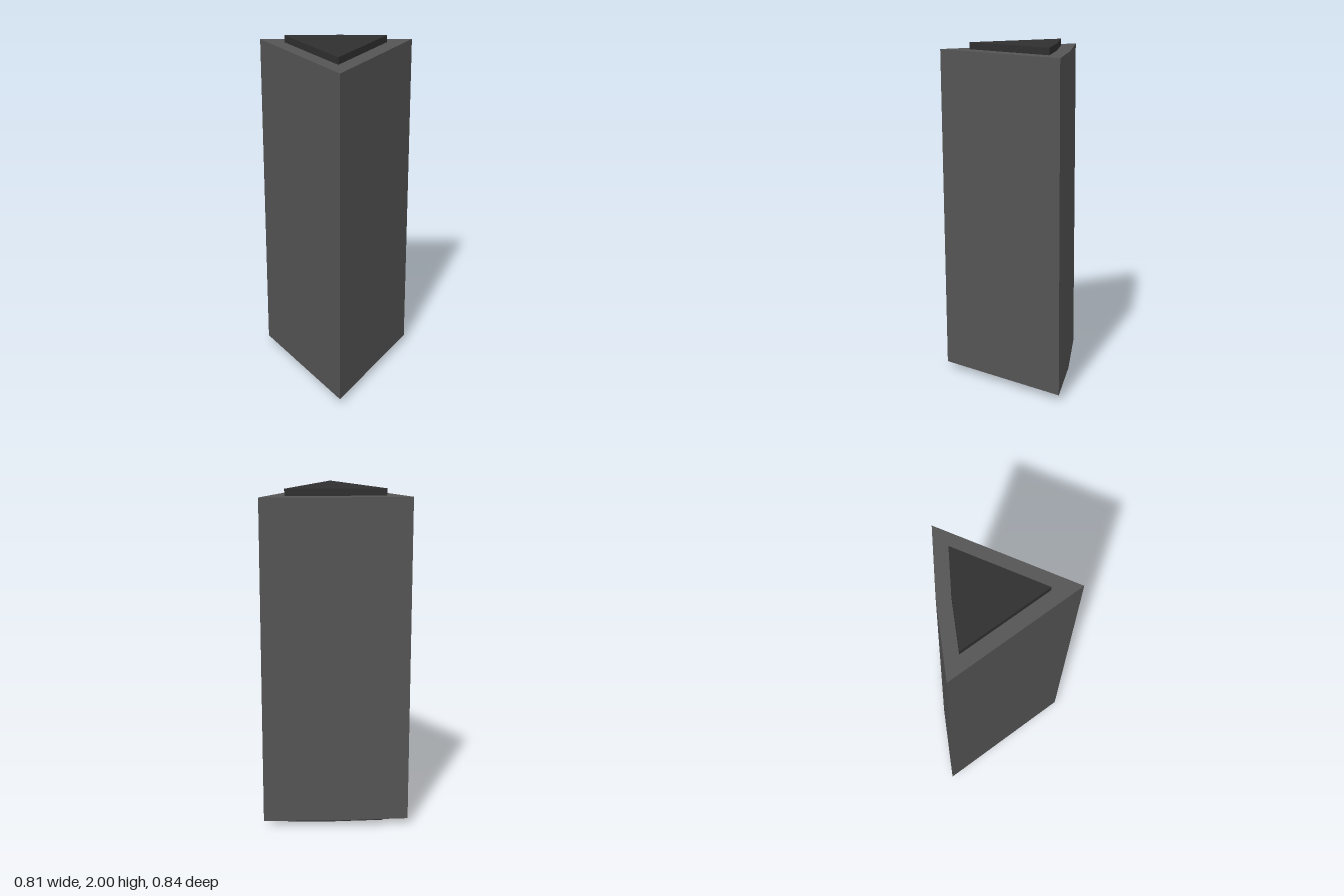
import * as THREE from 'three';

// Plan outlines as [x, z]: a wedge whose back-left side bends slightly outwards
const BODY_PLAN = [[-0.405, 0.42], [0.405, 0.177], [0.127, -0.112], [-0.215, -0.422]];
const CAP_PLAN = [[-0.293, 0.292], [0.249, 0.13], [0.064, -0.063], [-0.165, -0.27]];

// Upright prism over a plan outline, from y0 to y1
function prism(name, plan, y0, y1, color) {
  const shape = new THREE.Shape(plan.map(([x, z]) => new THREE.Vector2(x, -z)));
  const geometry = new THREE.ExtrudeGeometry(shape, { depth: y1 - y0, bevelEnabled: false });
  geometry.rotateX(-Math.PI / 2).translate(0, y0, 0);
  const material = new THREE.MeshStandardMaterial({ color, flatShading: true });
  const mesh = new THREE.Mesh(geometry, material);
  mesh.name = name;
  return mesh;
}

export function createModel() {
  const group = new THREE.Group();
  group.name = 'wedgeColumn';
  group.add(
    prism('body', BODY_PLAN, 0.04, 1.96, 0x555555),
    // Smaller dark plates at both ends
    prism('bottomCap', CAP_PLAN, 0, 0.04, 0x303030),
    prism('topCap', CAP_PLAN, 1.96, 2, 0x303030),
  );
  return group;
}
